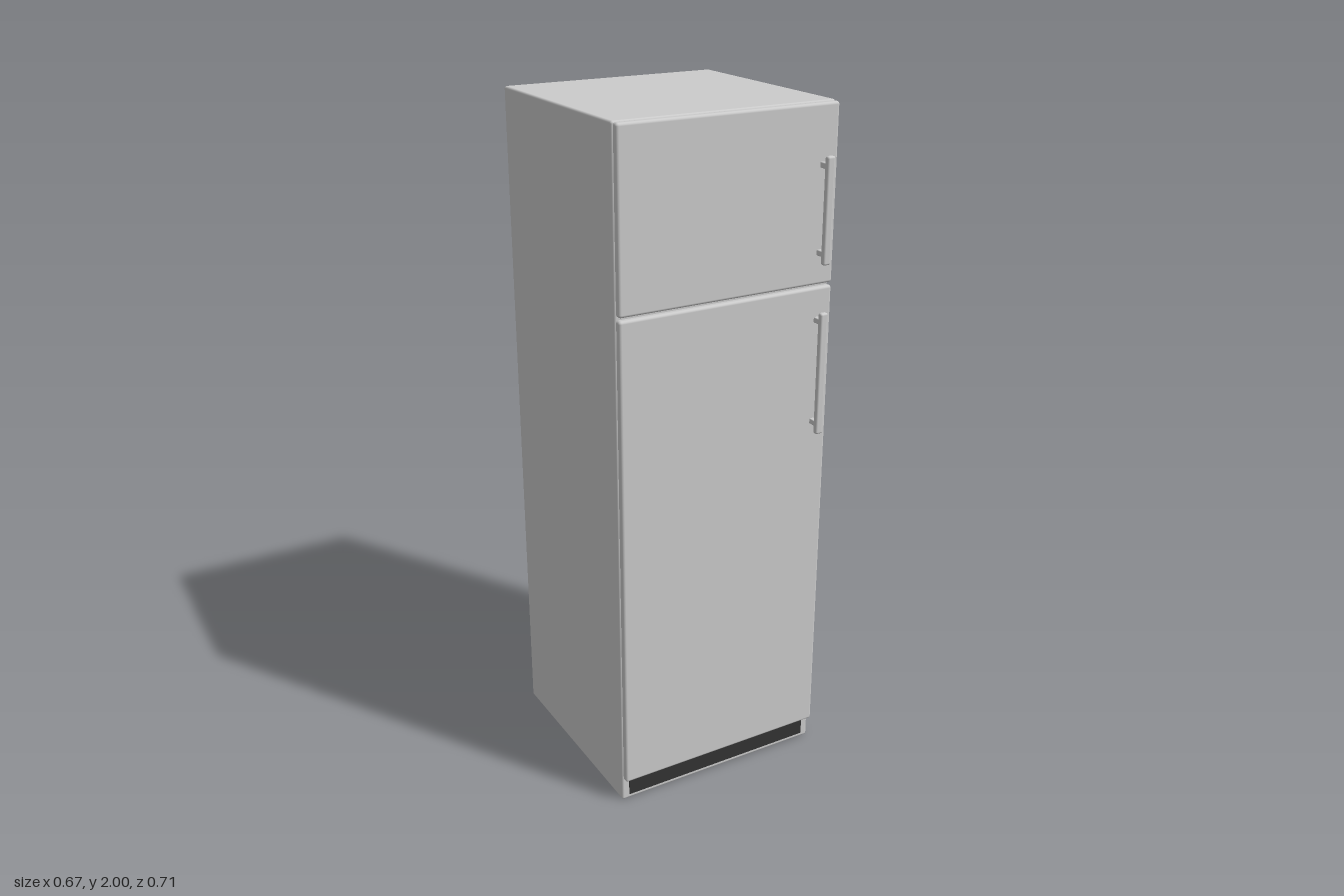
import * as THREE from 'three';
import { RoundedBoxGeometry } from 'three/addons/geometries/RoundedBoxGeometry.js';

const grey = new THREE.MeshStandardMaterial({ color: 0xcccccc });
const dark = new THREE.MeshStandardMaterial({ color: 0x333333 });

// Rounded block given by its extents along each axis
function block(name, [x0, x1], [y0, y1], [z0, z1], radius, material = grey) {
  const geometry = new RoundedBoxGeometry(x1 - x0, y1 - y0, z1 - z0, 3, radius);
  const mesh = new THREE.Mesh(geometry, material);
  mesh.position.set((x0 + x1) / 2, (y0 + y1) / 2, (z0 + z1) / 2);
  mesh.name = name;
  return mesh;
}

// Upright bar handle carried on two short posts
function handle(name, y0, y1) {
  const group = new THREE.Group();
  group.name = name;
  group.add(block('handleBar', [0.271, 0.295], [y0, y1], [0.335, 0.352], 0.006));
  for (const y of [y0 + 0.028, y1 - 0.028]) {
    group.add(block('handlePost', [0.275, 0.29], [y - 0.008, y + 0.008], [0.309, 0.337], 0.003));
  }
  return group;
}

// Door slab together with its handle
function door(name, y0, y1, handleBottom, handleTop) {
  const group = new THREE.Group();
  group.name = name;
  group.add(block('doorPanel', [-0.331, 0.331], [y0, y1], [0.289, 0.312], 0.008));
  group.add(handle('doorHandle', handleBottom, handleTop));
  return group;
}

export function createModel() {
  const model = new THREE.Group();
  model.name = 'refrigerator';

  // Cabinet
  model.add(block('cabinet', [-0.333, 0.333], [0, 2], [-0.354, 0.289], 0.007));

  // Freezer door above, main door below
  model.add(door('freezerDoor', 1.508, 1.998, 1.571, 1.865));
  model.add(door('mainDoor', 0.076, 1.5, 1.078, 1.436));

  // Dark vent strip at the foot
  const vent = new THREE.Mesh(new THREE.BoxGeometry(0.62, 0.048, 0.02), dark);
  vent.position.set(0, 0.037, 0.28);
  vent.name = 'ventGrille';
  model.add(vent);

  return model;
}
